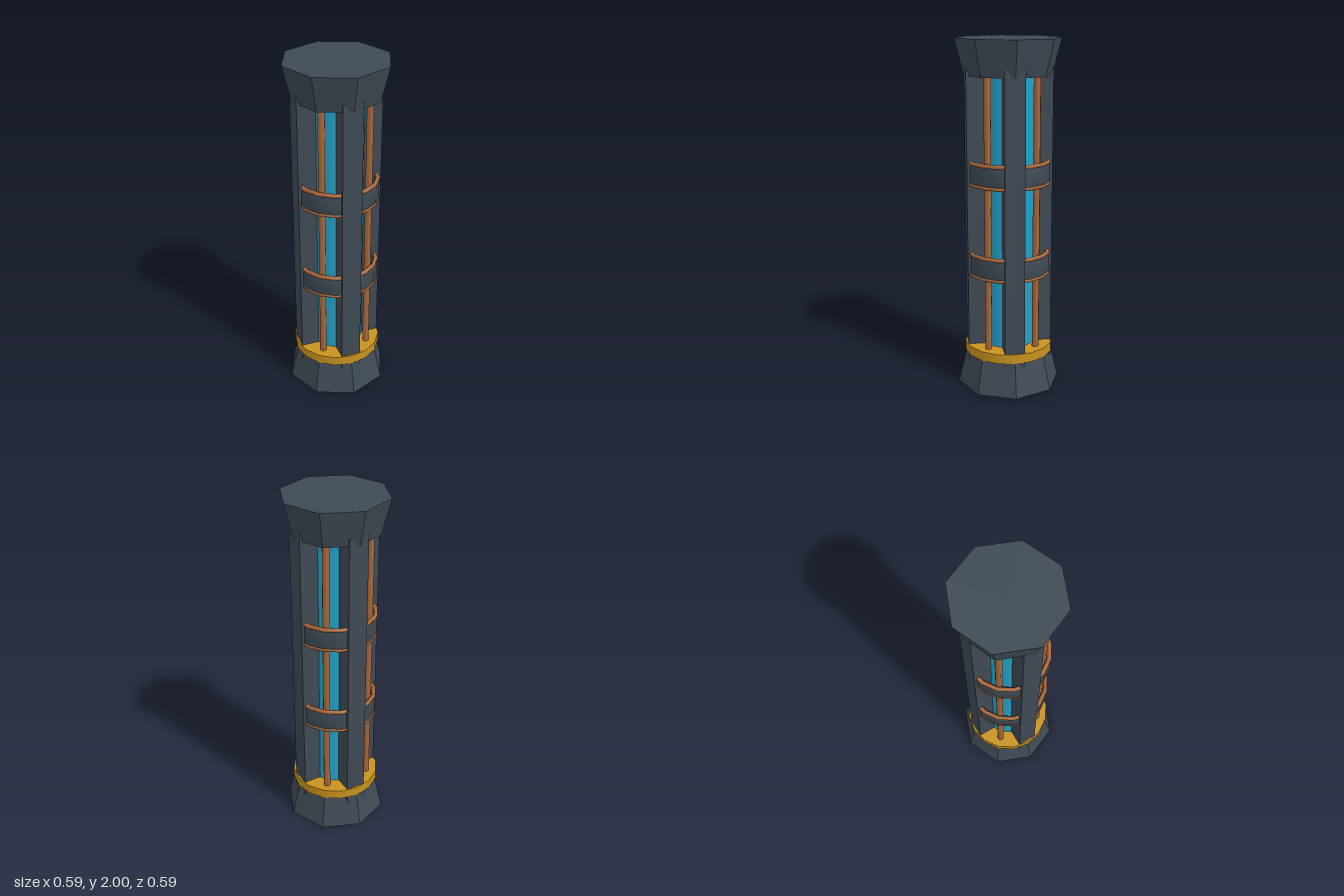
import * as THREE from 'three';

const material = (name, color) => {
  const m = new THREE.MeshStandardMaterial({ color });
  m.name = name;
  return m;
};

// Faceted normals for the octagonal parts
function faceted(geometry) {
  const g = geometry.toNonIndexed();
  g.computeVertexNormals();
  return g;
}

export function createModel() {
  const steel = material('dark steel', 0x3f4a54);
  const copper = material('copper', 0xa8673a);
  const glass = material('cyan core', 0x22a2c8);
  const yellow = material('warning yellow', 0xc8921e);

  const model = new THREE.Group();
  model.name = 'energyColumn';
  const add = (name, geometry, mat, x = 0, y = 0, z = 0) => {
    const mesh = new THREE.Mesh(geometry, mat);
    mesh.name = name;
    mesh.position.set(x, y, z);
    model.add(mesh);
    return mesh;
  };

  // Flared octagonal base and cap, with corners on the axes
  add('base', faceted(new THREE.CylinderGeometry(0.25, 0.297, 0.2, 8)), steel, 0, 0.1, 0);
  add('cap', faceted(new THREE.CylinderGeometry(0.297, 0.247, 0.2, 8)), steel, 0, 1.9, 0);

  // Collar above the base
  add('baseCollar', new THREE.CylinderGeometry(0.255, 0.255, 0.055, 16), yellow, 0, 0.225, 0);

  // Glowing core
  add('core', new THREE.CylinderGeometry(0.15, 0.15, 1.64, 24), glass, 0, 1.01, 0);

  for (let i = 0; i < 4; i++) {
    // Upright on each diagonal, its corners just breaking through the cap
    const a = Math.PI / 4 + (i * Math.PI) / 2;
    const upright = add('upright', new THREE.BoxGeometry(0.113, 1.69, 0.12), steel,
      Math.sin(a) * 0.181, 1.0, Math.cos(a) * 0.181);
    upright.rotation.y = a;

    // Conduit in the middle of each opening
    const b = (i * Math.PI) / 2;
    add('conduit', new THREE.CylinderGeometry(0.02, 0.02, 1.64, 8), copper,
      Math.sin(b) * 0.192, 1.01, Math.cos(b) * 0.192);
  }

  // Two bands with copper rims
  const bandProfile = [
    [0.212, -0.06], [0.236, -0.06], [0.236, 0.06], [0.212, 0.06], [0.212, -0.06],
  ].map(([r, y]) => new THREE.Vector2(r, y));
  for (const y of [0.74, 1.265]) {
    add('band', new THREE.LatheGeometry(bandProfile, 16), steel, 0, y, 0);
    for (const side of [-1, 1]) {
      const rim = add('bandRim', new THREE.TorusGeometry(0.228, 0.012, 8, 16), copper, 0, y + side * 0.06, 0);
      rim.rotation.x = Math.PI / 2;
    }
  }

  return model;
}
